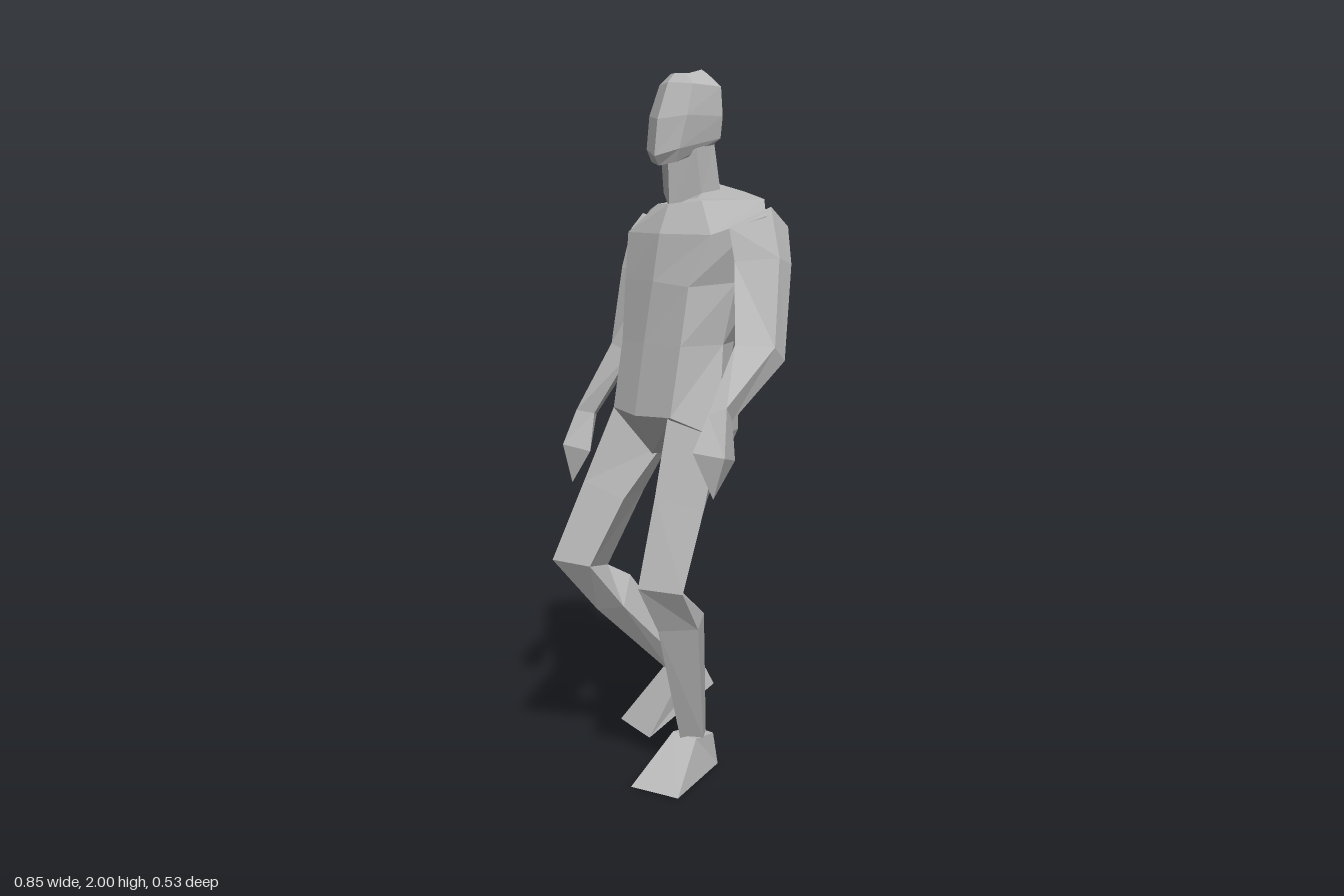
import * as THREE from 'three';

// Skin a stack of equal-length cross-sections, cap both ends, face outward, flat normals.
function loft(rings) {
  const tris = [];
  const n = rings[0].length;
  const centre = (r) => [0, 1, 2].map((k) => r.reduce((s, p) => s + p[k], 0) / n);
  for (let j = 0; j < rings.length - 1; j++) {
    const a = rings[j], b = rings[j + 1];
    for (let i = 0; i < n; i++) {
      const k = (i + 1) % n;
      tris.push([a[i], a[k], b[k]], [a[i], b[k], b[i]]);
    }
  }
  const first = rings[0], last = rings[rings.length - 1];
  const c0 = centre(first), c1 = centre(last);
  for (let i = 0; i < n; i++) {
    const k = (i + 1) % n;
    tris.push([c0, first[k], first[i]], [c1, last[i], last[k]]);
  }
  // A negative enclosed volume means the winding is inside out
  const v = (p) => new THREE.Vector3(...p);
  const volume = tris.reduce((s, [a, b, c]) => s + v(a).dot(v(b).cross(v(c))), 0);
  if (volume < 0) tris.forEach((t) => t.reverse());
  const geo = new THREE.BufferGeometry();
  geo.setAttribute('position', new THREE.Float32BufferAttribute(tris.flat(2), 3));
  geo.computeVertexNormals();
  return geo;
}

// Hexagonal section symmetric about the head's centre plane:
// front [y, z], front side [dx, y, z], rear side [dx, y, z], back [y, z]
const MID = -0.017;
function hexRing(front, fs, bs, back) {
  return [
    [MID, ...front],
    [MID + fs[0], fs[1], fs[2]], [MID + bs[0], bs[1], bs[2]],
    [MID, ...back],
    [MID - bs[0], bs[1], bs[2]], [MID - fs[0], fs[1], fs[2]],
  ];
}

// Collapse a limb to a point
const tip = (x, y, z) => [0, 1, 2, 3].map(() => [x, y, z]);

export function createModel() {
  const model = new THREE.Group();
  const grey = new THREE.MeshStandardMaterial({ color: 0xb8b8b8 });
  grey.name = 'plain grey';
  const add = (name, rings) => {
    const mesh = new THREE.Mesh(loft(rings), grey);
    mesh.name = name;
    model.add(mesh);
  };

  // Torso sections run front, left, back, right
  const hips = [
    [-0.02, 1.05, 0.115], [0.125, 1.06, 0.118], [0.2, 1.0, 0.005], [0.12, 1.0, -0.155],
    [0, 1.0, -0.165], [-0.11, 1.0, -0.16], [-0.2, 1.01, -0.015], [-0.13, 1.06, 0.095],
  ];
  const crotch = [
    [-0.02, 0.935, 0.05], [0.01, 0.94, 0.04], [0.03, 0.95, 0], [0.02, 0.94, -0.07],
    [-0.01, 0.93, -0.09], [-0.04, 0.94, -0.07], [-0.06, 0.95, 0], [-0.04, 0.94, 0.04],
  ];
  add('pelvis', [crotch, hips]);
  add('torso', [
    hips,
    [[-0.02, 1.25, 0.08], [0.12, 1.25, 0.075], [0.16, 1.25, -0.05], [0.1, 1.25, -0.175],
      [0, 1.25, -0.19], [-0.1, 1.25, -0.18], [-0.16, 1.25, -0.07], [-0.13, 1.25, 0.06]],
    [[-0.01, 1.42, 0.055], [0.12, 1.41, 0.045], [0.18, 1.42, -0.08], [0.15, 1.42, -0.21],
      [0, 1.42, -0.235], [-0.14, 1.42, -0.22], [-0.19, 1.42, -0.1], [-0.15, 1.42, 0.03]],
    [[-0.01, 1.55, 0.03], [0.16, 1.55, 0], [0.25, 1.6, -0.12], [0.25, 1.57, -0.21],
      [0, 1.565, -0.265], [-0.235, 1.57, -0.245], [-0.26, 1.58, -0.14], [-0.17, 1.55, 0]],
    [[-0.015, 1.63, -0.01], [0.08, 1.64, -0.045], [0.225, 1.645, -0.14], [0.12, 1.665, -0.17],
      [0, 1.69, -0.17], [-0.13, 1.655, -0.18], [-0.25, 1.61, -0.16], [-0.1, 1.63, -0.05]],
  ]);

  add('neck', [
    hexRing([1.62, -0.015], [0.075, 1.66, -0.065], [0.065, 1.67, -0.15], [1.69, -0.17]),
    hexRing([1.75, -0.01], [0.072, 1.78, -0.05], [0.06, 1.8, -0.13], [1.81, -0.155]),
  ]);

  add('head', [
    hexRing([1.735, 0.025], [0.05, 1.745, 0.005], [0.055, 1.785, -0.12], [1.79, -0.15]),
    hexRing([1.76, 0.042], [0.065, 1.78, 0.01], [0.075, 1.81, -0.14], [1.84, -0.2]),
    hexRing([1.86, 0.03], [0.075, 1.87, -0.01], [0.083, 1.87, -0.14], [1.91, -0.222]),
    hexRing([1.96, -0.01], [0.066, 1.955, -0.04], [0.076, 1.95, -0.14], [1.96, -0.185]),
    hexRing([1.985, -0.035], [0.03, 1.985, -0.05], [0.035, 1.985, -0.13], [2.0, -0.14]),
  ]);

  // Limb sections run front, outer, back, inner
  add('leftArm', [
    [[0.19, 1.57, -0.04], [0.25, 1.625, -0.14], [0.25, 1.57, -0.21], [0.18, 1.45, -0.13]],
    [[0.22, 1.48, -0.03], [0.31, 1.49, -0.11], [0.295, 1.47, -0.175], [0.205, 1.45, -0.09]],
    [[0.31, 1.27, 0.06], [0.37, 1.26, -0.03], [0.36, 1.22, -0.08], [0.275, 1.22, 0.04]],
    [[0.34, 1.1, 0.19], [0.378, 1.12, 0.16], [0.36, 1.08, 0.12], [0.312, 1.1, 0.15]],
  ]);
  add('leftHand', [
    [[0.34, 1.1, 0.19], [0.378, 1.12, 0.16], [0.36, 1.08, 0.12], [0.312, 1.1, 0.15]],
    [[0.345, 1.01, 0.25], [0.42, 1.0, 0.21], [0.38, 0.98, 0.13], [0.312, 0.98, 0.18]],
    tip(0.385, 0.89, 0.215),
  ]);
  add('rightArm', [
    [[-0.2, 1.56, -0.04], [-0.26, 1.6, -0.14], [-0.24, 1.57, -0.24], [-0.18, 1.42, -0.13]],
    [[-0.23, 1.45, -0.03], [-0.312, 1.46, -0.13], [-0.28, 1.44, -0.2], [-0.19, 1.42, -0.1]],
    [[-0.29, 1.22, -0.04], [-0.34, 1.24, -0.115], [-0.3, 1.2, -0.165], [-0.24, 1.19, -0.07]],
    [[-0.36, 1.02, 0.04], [-0.4, 1.01, 0], [-0.36, 1.0, -0.04], [-0.325, 1.01, 0]],
  ]);
  add('rightHand', [
    [[-0.36, 1.02, 0.04], [-0.4, 1.01, 0], [-0.36, 1.0, -0.04], [-0.325, 1.01, 0]],
    [[-0.37, 0.92, 0.085], [-0.425, 0.905, 0.015], [-0.37, 0.9, -0.025], [-0.31, 0.9, 0.03]],
    tip(-0.37, 0.8, 0.05),
  ]);

  // Standing leg
  add('leftLeg', [
    [[0.115, 1.06, 0.118], [0.2, 1.0, 0.005], [0.12, 1.0, -0.155], [0, 0.95, 0]],
    [[0.115, 0.85, 0.165], [0.195, 0.8, 0.06], [0.12, 0.82, -0.035], [0.03, 0.8, 0.07]],
    [[0.11, 0.6, 0.225], [0.187, 0.58, 0.13], [0.12, 0.57, 0.075], [0.04, 0.59, 0.14]],
    [[0.1, 0.46, 0.14], [0.167, 0.46, 0.05], [0.11, 0.48, -0.03], [0.035, 0.46, 0.05]],
    [[0.055, 0.1, 0.01], [0.1, 0.1, -0.04], [0.06, 0.1, -0.09], [0.01, 0.1, -0.04]],
  ]);
  add('leftFoot', [
    [[0.02, 0.11, 0.005], [0.1, 0.105, -0.01], [0.09, 0.1, -0.09], [0.01, 0.1, -0.085]],
    [[0.04, 0, 0.19], [0.19, 0, 0.15], [0.09, 0, -0.11], [0, 0, -0.1]],
  ]);

  // Bent leg
  add('rightLeg', [
    [[-0.13, 1.06, 0.095], [-0.2, 1.0, -0.015], [-0.11, 1.0, -0.16], [-0.03, 0.95, 0]],
    [[-0.17, 0.85, 0.175], [-0.232, 0.8, 0.075], [-0.15, 0.8, -0.04], [-0.085, 0.8, 0.1]],
    [[-0.205, 0.63, 0.265], [-0.27, 0.61, 0.15], [-0.2, 0.58, 0.06], [-0.13, 0.61, 0.19]],
    [[-0.18, 0.46, 0.12], [-0.24, 0.46, 0.05], [-0.18, 0.54, -0.01], [-0.12, 0.47, 0.07]],
    [[-0.13, 0.22, -0.13], [-0.175, 0.23, -0.18], [-0.12, 0.25, -0.22], [-0.09, 0.22, -0.18]],
  ]);
  add('rightFoot', [
    [[-0.095, 0.215, -0.14], [-0.175, 0.23, -0.15], [-0.16, 0.22, -0.25], [-0.085, 0.22, -0.235]],
    [[-0.14, 0.03, -0.05], [-0.28, 0.05, -0.06], [-0.155, 0.17, -0.265], [-0.07, 0.17, -0.255]],
  ]);

  return model;
}
